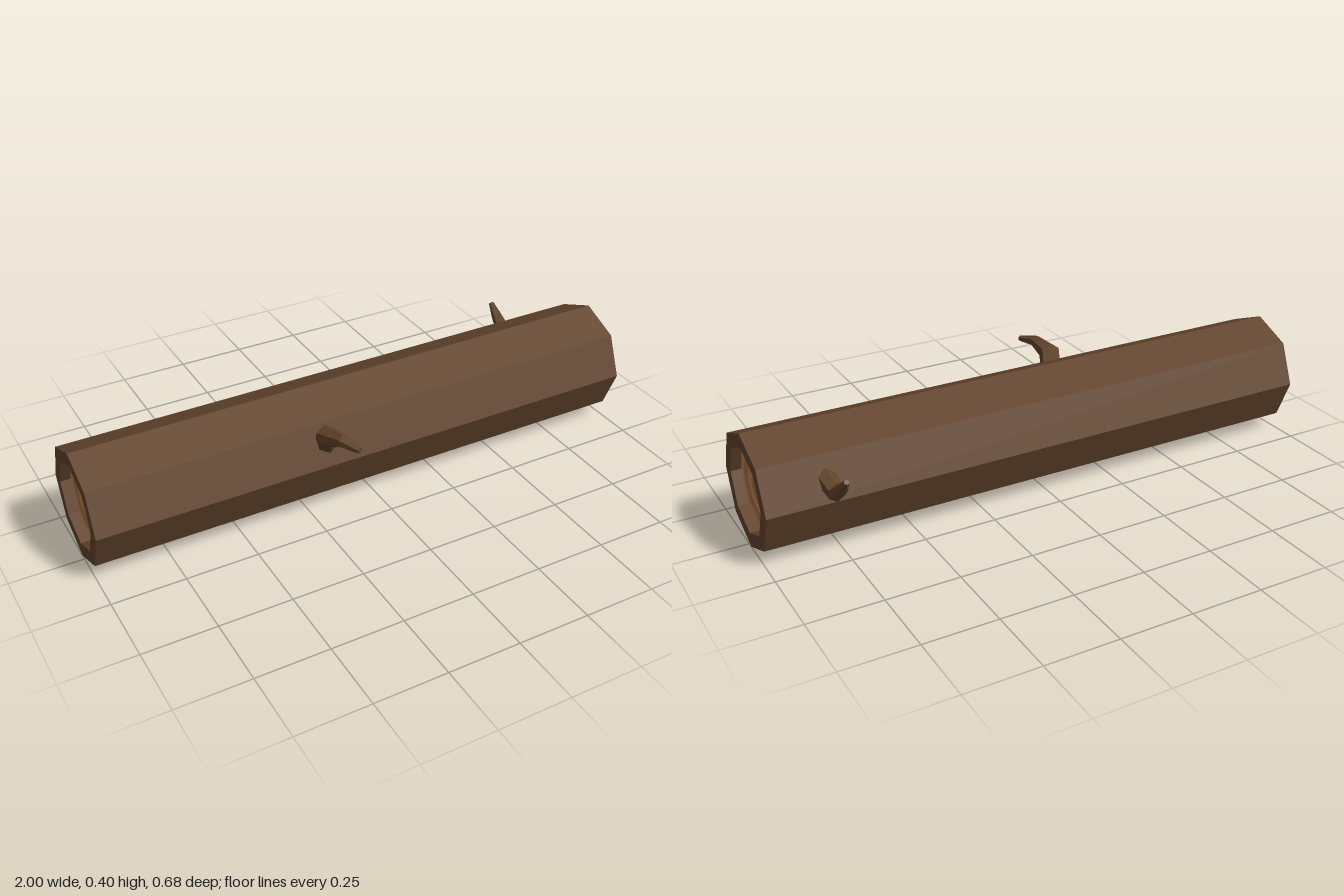
import * as THREE from 'three';

const bark = new THREE.MeshStandardMaterial({ color: 0x62432b, flatShading: true });
const lightWood = new THREE.MeshStandardMaterial({ color: 0xc68452, flatShading: true });
const darkWood = new THREE.MeshStandardMaterial({ color: 0xa37045, flatShading: true });
const SIDES = 8;

// Tapered branch through [x, y, z, radius] stations, closed at the tip
function branchGeometry(stations, sides = 6) {
  const centres = stations.map(([x, y, z]) => new THREE.Vector3(x, y, z));
  const last = centres.length - 1;
  const positions = [], index = [];
  centres.forEach((c, i) => {
    const t = centres[Math.min(i + 1, last)].clone().sub(centres[Math.max(i - 1, 0)]).normalize();
    const u = new THREE.Vector3(1, 0, 0).addScaledVector(t, -t.x).normalize();
    const v = t.clone().cross(u);
    for (let j = 0; j < sides; j++) {
      const a = ((j + 0.5) / sides) * Math.PI * 2;
      const p = c.clone()
        .addScaledVector(u, Math.cos(a) * stations[i][3])
        .addScaledVector(v, Math.sin(a) * stations[i][3]);
      positions.push(p.x, p.y, p.z);
      if (i < last) {
        const k = (j + 1) % sides, b = i * sides, n = b + sides;
        index.push(b + j, b + k, n + j, b + k, n + k, n + j);
      }
    }
  });
  for (let j = 1; j < sides - 1; j++) index.push(last * sides, last * sides + j, last * sides + j + 1);
  const geometry = new THREE.BufferGeometry();
  geometry.setAttribute('position', new THREE.Float32BufferAttribute(positions, 3));
  geometry.setIndex(index);
  const flat = geometry.toNonIndexed();
  flat.computeVertexNormals();
  return flat;
}

export function createModel() {
  const model = new THREE.Group();
  model.name = 'log';
  const add = (parent, name, geometry, material) => {
    const mesh = new THREE.Mesh(geometry, material);
    mesh.name = name;
    parent.add(mesh);
    return mesh;
  };

  // Octagonal bark shell with a rim and a shallow recess at each end
  const trunk = new THREE.Group();
  trunk.name = 'trunk';
  trunk.position.set(0, 0.2, -0.02);
  model.add(trunk);
  const profile = [[0.15, -0.965], [0.15, -1], [0.2, -1], [0.2, 1], [0.15, 1], [0.15, 0.965]]
    .map(([r, y]) => new THREE.Vector2(r, y));
  add(trunk, 'bark', new THREE.LatheGeometry(profile, SIDES).rotateZ(-Math.PI / 2), bark);

  // Growth rings on both recessed ends
  const radii = [0.15, 0.122, 0.081, 0.044, 0];
  for (const side of [1, -1]) {
    const end = new THREE.Group();
    end.name = side > 0 ? 'leftCutEnd' : 'rightCutEnd';
    end.position.x = side * 0.965;
    end.rotation.y = side * Math.PI / 2;
    trunk.add(end);
    for (let i = 0; i < 4; i++) {
      const geometry = i === 3
        ? new THREE.CircleGeometry(radii[i], SIDES)
        : new THREE.RingGeometry(radii[i + 1], radii[i], SIDES);
      add(end, 'growthRing' + (i + 1), geometry, i % 2 ? darkWood : lightWood);
    }
  }

  // Crooked twigs growing from the front and back
  add(model, 'frontBranch', branchGeometry([
    [-0.18, 0.25, 0.12, 0.038], [-0.215, 0.338, 0.198, 0.037],
    [-0.2, 0.357, 0.273, 0.022], [-0.173, 0.35, 0.337, 0.011],
  ]), bark);
  add(model, 'backBranch', branchGeometry([
    [0.79, 0.272, -0.16, 0.036], [0.782, 0.243, -0.242, 0.029],
    [0.785, 0.284, -0.297, 0.019], [0.782, 0.324, -0.333, 0.009],
  ]), bark);

  return model;
}
